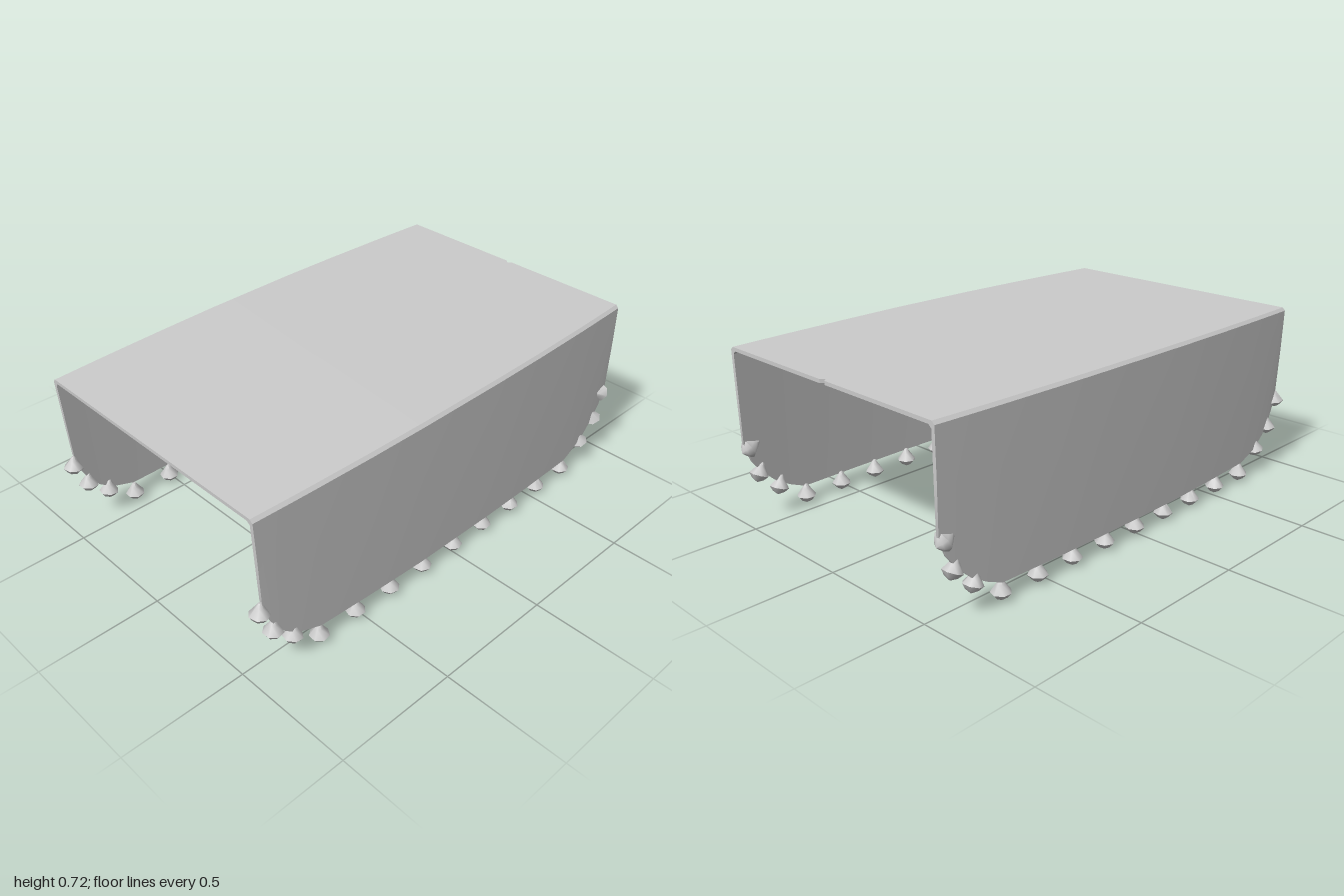
import * as THREE from 'three';
import { toCreasedNormals } from 'three/addons/utils/BufferGeometryUtils.js';

const material = new THREE.MeshStandardMaterial({ color: 0xcccccc, side: THREE.DoubleSide });
const THICK = 0.015;

// Lower hem of a side flap, from left end to right end: [x, y]
const HEM = [[-0.95, 0.36], [-0.93, 0.28], [-0.9, 0.22], [-0.86, 0.17], [-0.8, 0.125], [-0.7, 0.09],
  [-0.45, 0.085], [-0.2, 0.08], [0.2, 0.08], [0.45, 0.08], [0.72, 0.08], [0.79, 0.11], [0.85, 0.145],
  [0.91, 0.2], [0.955, 0.26], [0.985, 0.34]];

// Closed cross-section of the draped cloth at one point of the hem
function crossSection([xb, yb], last) {
  const u = (xb + 0.95) / 1.935;
  const xt = -0.97 + 1.96 * u;
  const top = 0.717 + 0.01 * Math.min(1, u * 2);
  const w = 0.597 - 0.027 * xt * xt;
  const mid = (top + yb) / 2;
  const b = 0.012, inner = w - THICK, under = top - THICK;
  const half = [[top, 0], [top, 0.015], [top, w - b], [top - b, w], [mid, w], [yb, w - 0.003],
    [yb, inner], [mid, inner], [under - b, inner], [under, inner - b], [under, 0.015], [under, 0]];
  const mirrored = half.slice(1, -1).reverse().map(([y, z]) => [y, -z]);
  return [...half, ...mirrored].map(([y, z]) => {
    const notch = last && z === 0 ? 0.015 : 0; // small nick in the end edge
    return [xt + (xb - xt) * (top - y) / (top - yb) - notch, y, z];
  });
}

function clothGeometry() {
  const rings = HEM.map((p, i) => crossSection(p, i === HEM.length - 1));
  const n = rings[0].length;
  const index = [];
  const id = (i, k) => i * n + (k + n) % n;
  for (let i = 0; i < rings.length - 1; i++) {
    for (let k = 0; k < n; k++) {
      const a = id(i, k), b = id(i, k + 1), c = id(i + 1, k + 1), d = id(i + 1, k);
      index.push(a, b, d, b, c, d);
    }
  }
  // Thin end edges join the outer face to the inner face
  const end = rings.length - 1;
  for (let k = -5; k < 5; k++) {
    for (const i of [0, end]) {
      const a = id(i, k), b = id(i, k + 1), c = id(i, 10 - k), d = id(i, 11 - k);
      if (i === end) index.push(a, b, d, b, c, d);
      else index.push(a, d, b, b, d, c);
    }
  }
  const geo = new THREE.BufferGeometry();
  geo.setAttribute('position', new THREE.Float32BufferAttribute(rings.flat(2), 3));
  geo.setIndex(index);
  return toCreasedNormals(geo, 0.5);
}

// Faceted tassel, hung point up
function tasselGeometry() {
  const profile = [[0, -0.036], [0.024, -0.022], [0.039, -0.004], [0.017, 0.028], [0.006, 0.045], [0, 0.046]]
    .map(([r, y]) => new THREE.Vector2(r, y));
  return toCreasedNormals(new THREE.LatheGeometry(profile, 7), 0.8);
}

// Tassel centres along the hem: [x, y, tilt]
const TASSELS = [[-0.957, 0.31, -0.15], [-0.905, 0.2, -0.1], [-0.82, 0.12, -0.15],
  [0.84, 0.12, 0.3], [0.925, 0.2, 0.4], [0.958, 0.315, 1.2]];
for (let i = 0; i < 9; i++) TASSELS.push([-0.7 + i * 0.177, 0.043, 0]);

export function createModel() {
  const model = new THREE.Group();
  model.name = 'tasselledCloth';

  const cloth = new THREE.Mesh(clothGeometry(), material);
  cloth.name = 'drapedCloth';
  model.add(cloth);

  const geo = tasselGeometry();
  for (const side of [1, -1]) {
    const row = new THREE.Group();
    row.name = side > 0 ? 'frontTassels' : 'backTassels';
    TASSELS.forEach(([x, y, tilt], i) => {
      const tassel = new THREE.Mesh(geo, material);
      tassel.name = 'tassel';
      tassel.position.set(x, y, side * (0.574 - 0.014 * x * x));
      tassel.rotation.set(0, i * 0.7, tilt, 'ZYX');
      row.add(tassel);
    });
    model.add(row);
  }
  return model;
}
